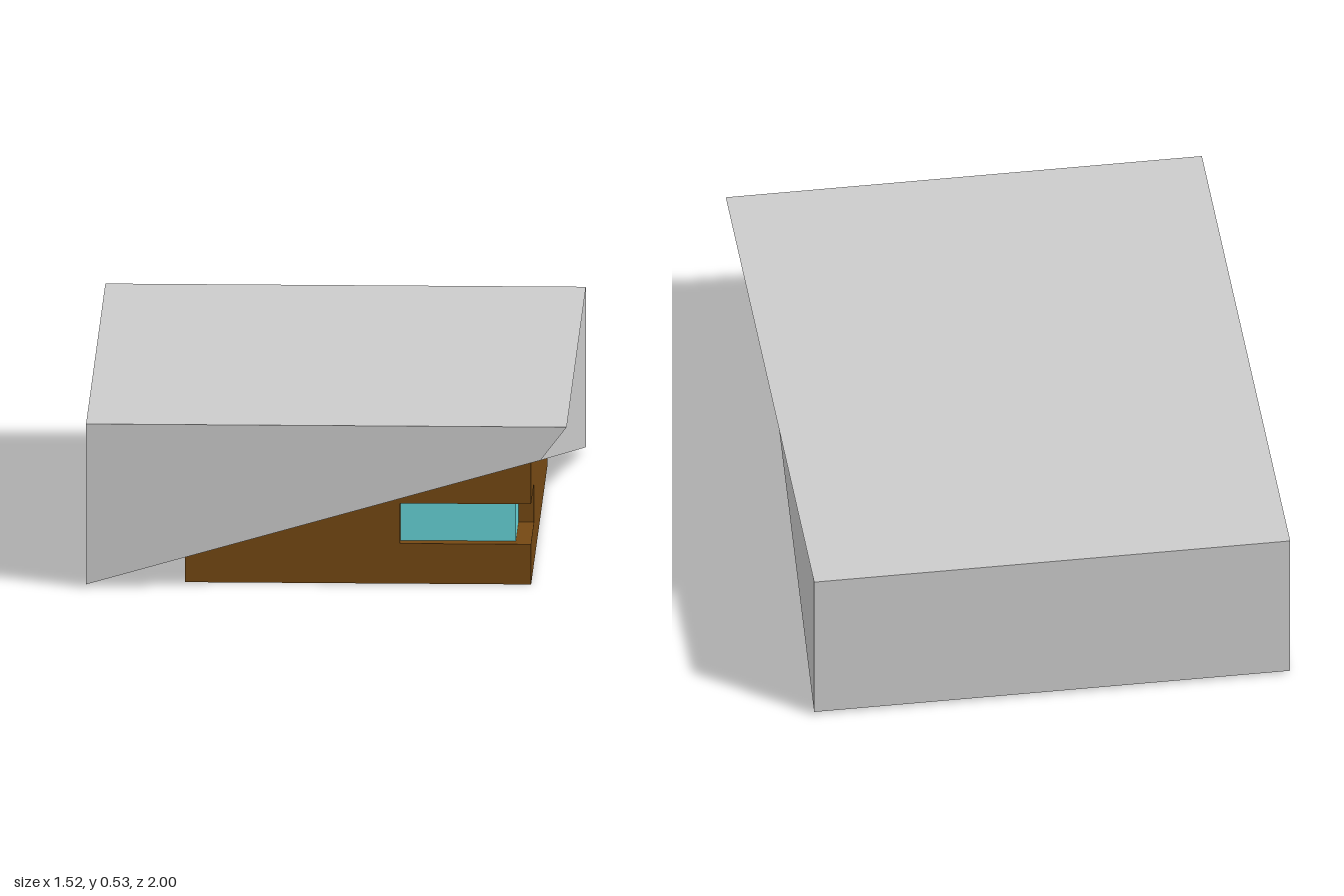
import * as THREE from 'three';

const grey = new THREE.MeshStandardMaterial({ color: 0xcccccc });
const brown = new THREE.MeshStandardMaterial({ color: 0x744813 });
const cyan = new THREE.MeshStandardMaterial({ color: 0x66d2d6 });

// Box given by its minimum and maximum corners
function block(name, min, max, material) {
  const size = max.map((v, i) => v - min[i]);
  const geometry = new THREE.BoxGeometry(...size);
  geometry.translate(...min.map((v, i) => v + size[i] / 2));
  const mesh = new THREE.Mesh(geometry, material);
  mesh.name = name;
  return mesh;
}

export function createModel() {
  const model = new THREE.Group();
  model.name = 'building';

  // Roof: a block with its lower front corner pulled up and inwards
  const roof = block('roof', [-0.76, 0.01, -1], [0.76, 0.53, 1], grey);
  const p = roof.geometry.attributes.position;
  for (let i = 0; i < p.count; i++) {
    if (p.getX(i) > 0 && p.getY(i) < 0.1 && p.getZ(i) > 0) p.setXYZ(i, 0.675, 0.405, 0.925);
  }
  model.add(roof);

  // Walls below and above the window band; the rear sides are plain grey
  const sides = [brown, grey, brown, brown, brown, grey];
  model.add(block('lowerWalls', [-0.45, 0, -0.79], [0.645, 0.13, 0.915], sides));
  model.add(block('upperWalls', [-0.45, 0.26, -0.79], [0.645, 0.41, 0.915], brown));

  // Middle walls, with the front corner left open for the window
  const plan = new THREE.Shape([
    [-0.45, 0.79], [-0.45, -0.915], [0.23, -0.915], [0.23, -0.6], [0.645, -0.6], [0.645, 0.79],
  ].map(([x, y]) => new THREE.Vector2(x, y)));
  const band = new THREE.ExtrudeGeometry(plan, { depth: 0.13, bevelEnabled: false });
  band.rotateX(-Math.PI / 2).translate(0, 0.13, 0);
  const middleWalls = new THREE.Mesh(band, brown);
  middleWalls.name = 'middleWalls';
  model.add(middleWalls);

  // Recessed corner window
  model.add(block('cornerWindow', [0.23, 0.13, 0.6], [0.595, 0.26, 0.87], cyan));

  return model;
}
